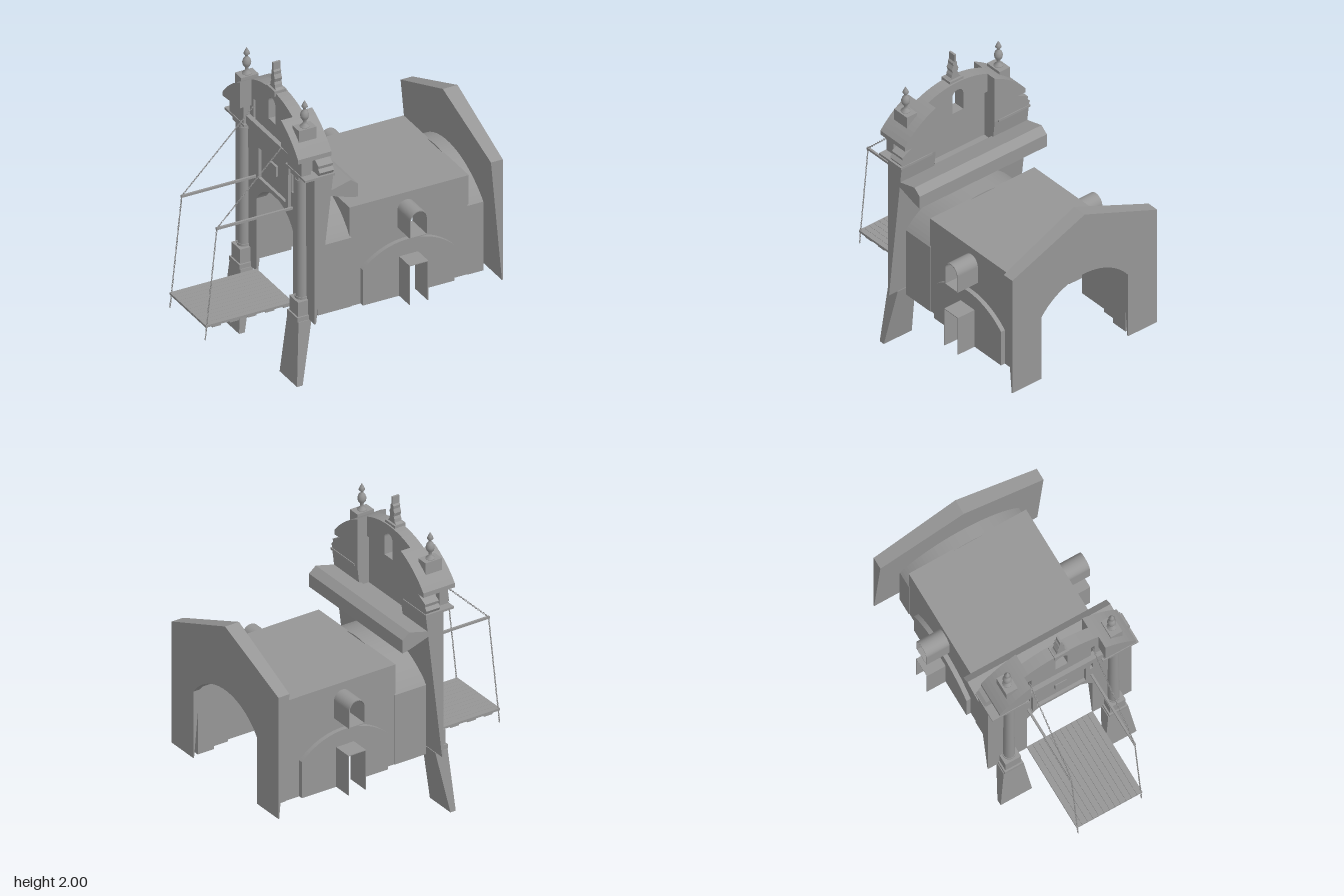
import * as THREE from 'three';
import { mergeGeometries } from 'three/addons/utils/BufferGeometryUtils.js';

// dark stone
const COLOR = 0x969696;
const mat = new THREE.MeshStandardMaterial({ color: COLOR, flatShading: true, side: THREE.DoubleSide });
const smooth = new THREE.MeshStandardMaterial({ color: COLOR, side: THREE.DoubleSide });
const FLOOR = 0.42;

export function createModel() {
  const model = new THREE.Group();
  const gate = new THREE.Group();
  gate.name = 'gatehouse';
  gate.rotation.y = 0.064;
  gate.position.z = 0.04;
  model.add(gate);

  const add = (name, geo, m = mat) => {
    const mesh = new THREE.Mesh(geo, m);
    mesh.name = name;
    gate.add(mesh);
  };
  // box given by its limits
  const box = (name, x0, x1, y0, y1, z0, z1) =>
    add(name, new THREE.BoxGeometry(x1 - x0, y1 - y0, z1 - z0)
      .translate((x0 + x1) / 2, (y0 + y1) / 2, (z0 + z1) / 2));
  const extrude = (shape, depth) =>
    new THREE.ExtrudeGeometry(shape, { depth, bevelEnabled: false, curveSegments: 20 });
  // shape drawn in (z, y), extruded from x0 to x1
  const across = (shape, x0, x1) => extrude(shape, x1 - x0).rotateY(Math.PI / 2).translate(x0, 0, 0);
  const poly = pts => new THREE.Shape(pts.map(p => new THREE.Vector2(...p)));
  // arc over a span of half width hw, rising from spring to top
  const arc = (path, cx, hw, spring, top, reverse = false) => {
    const r = top - spring, R = (hw * hw + r * r) / (2 * r), a = Math.asin(Math.min(1, hw / R));
    const s = Math.PI / 2 - a, e = Math.PI / 2 + a;
    path.absarc(cx, top - R, R, reverse ? e : s, reverse ? s : e, reverse);
  };
  const arch = (Type, cx, hw, y0, spring, top) => {
    const p = new Type();
    p.moveTo(cx - hw, y0);
    p.lineTo(cx + hw, y0);
    p.lineTo(cx + hw, spring);
    arc(p, cx, hw, spring, top);
    p.lineTo(cx - hw, y0);
    return p;
  };
  // cut an arched opening into the bottom edge, ending the outline
  const opening = (s, hw, spring, top) => {
    s.lineTo(hw, FLOOR);
    s.lineTo(hw, spring);
    arc(s, 0, hw, spring, top);
    s.lineTo(-hw, FLOOR);
    return s;
  };
  // pull the inner face so that the wall thins towards its foot
  const taper = (geo, fixed, y0, y1, foot) => {
    const p = geo.attributes.position;
    for (let i = 0; i < p.count; i++) {
      const k = foot + (1 - foot) * (p.getY(i) - y0) / (y1 - y0);
      p.setX(i, fixed + (p.getX(i) - fixed) * k);
    }
    geo.computeVertexNormals();
    return geo;
  };

  // gabled end wall
  const endWall = poly([[-0.57, FLOOR], [-0.57, 1.26], [0, 1.49], [0.57, 1.26], [0.57, FLOOR]]);
  add('endWall', taper(across(opening(endWall, 0.34, 0.88, 1.05), 0.815, 0.917), 0.917, FLOOR, 1.49, 0.06));

  // arched vaults joining the hall to both walls
  for (const [x0, x1] of [[-0.27, -0.04], [0.76, 0.87]]) {
    const s = new THREE.Shape();
    s.moveTo(-0.415, FLOOR);
    s.lineTo(-0.415, 0.9);
    arc(s, 0, 0.415, 0.9, 1.12, true);
    s.lineTo(0.415, FLOOR);
    add('vault', across(opening(s, 0.36, 0.88, 1.06), x0, x1));
  }

  // hall: roof, end frames, ceiling beams
  box('roof', -0.05, 0.77, 1.09, 1.11, -0.41, 0.41);
  for (const x of [-0.05, 0.75]) {
    const s = poly([[-0.41, FLOOR], [-0.41, 1.09], [0.41, 1.09], [0.41, FLOOR]]);
    add('hallEnd', across(opening(s, 0.36, 0.88, 1.06), x, x + 0.02));
  }
  for (let i = 0; i < 7; i++) box('ceilingBeam', 0.02 + i * 0.11, 0.05 + i * 0.11, 1.06, 1.09, -0.39, 0.39);

  // hall sides with arched panel, door and window passages
  const cx = 0.34;
  const bottomNotch = (x0, x1, hw, top) => [[x0, FLOOR], [cx - hw, FLOOR], [cx - hw, top], [cx + hw, top], [cx + hw, FLOOR], [x1, FLOOR]];
  // the wall is open behind the panel, leaving a niche inside
  const side = poly([[-0.05, FLOOR], [cx - 0.29, FLOOR], [cx - 0.29, 0.66]]);
  arc(side, cx, 0.29, 0.66, 0.78, true);
  for (const p of [[cx + 0.29, FLOOR], [0.77, FLOOR], [0.77, 1.09], [-0.05, 1.09]]) side.lineTo(...p);
  side.holes.push(arch(THREE.Path, cx, 0.055, 0.885, 1.0, 1.055));
  const panel = poly(bottomNotch(cx - 0.315, cx + 0.315, 0.06, 0.69));
  panel.lineTo(cx + 0.315, 0.67);
  arc(panel, cx, 0.315, 0.67, 0.8);
  const windowRing = arch(THREE.Shape, cx, 0.06, 0.88, 1.0, 1.06);
  windowRing.holes.push(arch(THREE.Path, cx, 0.054, 0.886, 1.0, 1.054));
  const doorFrame = poly([...bottomNotch(cx - 0.065, cx + 0.065, 0.06, 0.69), [cx + 0.065, 0.695], [cx - 0.065, 0.695]]);
  for (const s of [1, -1]) {
    const sidePart = (name, shape, z0, z1) =>
      add(name, extrude(shape, z1 - z0).translate(0, 0, s > 0 ? z0 : -z1));
    sidePart('hallSide', side, 0.39, 0.41);
    sidePart('archedPanel', panel, 0.41, 0.44);
    sidePart('windowPassage', windowRing, 0.39, 0.57);
    sidePart('doorPassage', doorFrame, 0.41, 0.57);
  }

  // lower gate wall, its middle bay cut down behind, with chain slots
  const lower = poly([[-0.5, FLOOR], [-0.5, 1.44], [-0.232, 1.44], [-0.232, 1.2], [-0.208, 1.2], [-0.208, 1.32],
    [0.208, 1.32], [0.208, 1.2], [0.232, 1.2], [0.232, 1.44], [0.5, 1.44], [0.5, FLOOR]]);
  add('gateWall', taper(across(opening(lower, 0.23, 0.93, 1.06), -0.34, -0.21), -0.34, FLOOR, 1.44, 0.08));

  // curved gable: thin middle bay with window, thick side bays
  const R = (0.475 ** 2 + 0.23 ** 2) / 0.46, arcY = z => 1.81 - R + Math.sqrt(R * R - z * z);
  // points along the gable curve
  const curve = (a, b) => Array.from({ length: 11 }, (_, i) => a + (b - a) * i / 10).map(z => [z, arcY(z)]);
  const middle = poly([[-0.208, 1.32], [0.208, 1.32], [0.208, 1.63], [0.232, 1.63],
    ...curve(0.232, -0.232), [-0.232, 1.63], [-0.208, 1.63]]);
  middle.holes.push(arch(THREE.Path, 0, 0.043, 1.59, 1.71, 1.753));
  add('gableMiddle', across(middle, -0.36, -0.28));

  // raised panel frame and cornice above the gateway
  const frame = poly([[-0.2, 1.08], [0.2, 1.08], [0.2, 1.42], [-0.2, 1.42]]);
  frame.holes.push(poly([[-0.17, 1.11], [0.17, 1.11], [0.17, 1.39], [-0.17, 1.39]]));
  add('panelFrame', across(frame, -0.36, -0.34));
  box('panelStone', -0.355, -0.34, 1.22, 1.29, -0.04, 0.04);
  box('gatewayCornice', -0.39, -0.34, 1.44, 1.5, -0.28, 0.28);

  // sloped beam behind the gate wall
  const beam = poly([[-0.24, 1.32], [-0.09, 1.36], [-0.04, 1.32], [-0.04, 1.23], [-0.09, 1.24], [-0.24, 1.29]]);
  add('rearBeam', extrude(beam, 1).translate(0, 0, -0.5));

  const finial = new THREE.LatheGeometry([[0, 0], [0.03, 0], [0.03, 0.01], [0.012, 0.025], [0.01, 0.045], [0.024, 0.065],
    [0.028, 0.085], [0.021, 0.108], [0.009, 0.122], [0.009, 0.13], [0.02, 0.143], [0.014, 0.16], [0, 0.187]]
    .map(p => new THREE.Vector2(...p)), 16);

  for (const s of [1, -1]) {
    const z = 0.365 * s;
    const zbox = (name, x0, x1, y0, y1, hw) => box(name, x0, x1, y0, y1, z - hw, z + hw);
    const flip = pts => poly(pts.map(([u, y]) => [-s * u, y]));
    add('gableSide', across(flip([[0.232, 1.44], [0.42, 1.44], [0.42, 1.55], [0.475, 1.55], ...curve(0.475, 0.232)]), -0.36, -0.21));
    // column
    zbox('columnPlinth', -0.41, -0.33, 0.45, 0.55, 0.055);
    zbox('columnFoot', -0.42, -0.33, FLOOR, 0.45, 0.065);
    add('column', new THREE.CylinderGeometry(0.033, 0.037, 0.85, 18).translate(-0.357, 0.975, z), smooth);
    for (const [y, r] of [[0.56, 0.041], [1.37, 0.037], [1.4, 0.04]])
      add('columnRing', new THREE.CylinderGeometry(r, r, 0.015, 18).translate(-0.357, y, z), smooth);
    zbox('capital', -0.405, -0.33, 1.405, 1.43, 0.052);
    box('cornice', -0.41, -0.205, 1.43, 1.445, s > 0 ? 0.26 : -0.51, s > 0 ? 0.51 : -0.26);
    zbox('entablature', -0.405, -0.34, 1.445, 1.56, 0.09);
    // half of the broken pediment
    add('pediment', across(flip([[0.26, 1.57], [0.475, 1.55], ...curve(0.475, 0.26)]), -0.44, -0.36));
    // scroll bracket at the end of the wall
    add('scroll', across(flip([[0.42, 1.44], [0.495, 1.445], [0.51, 1.47], [0.49, 1.49], [0.495, 1.51], [0.43, 1.545], [0.42, 1.55]]), -0.31, -0.21));
    // finial on its pedestal
    zbox('pedestal', -0.395, -0.275, 1.64, 1.735, 0.04);
    add('finial', finial.clone().translate(-0.335, 1.73, z), smooth);
    // splayed leg
    const leg = new THREE.BoxGeometry(1, FLOOR, 1);
    const p = leg.attributes.position;
    for (let i = 0; i < p.count; i++) {
      const up = p.getY(i) > 0, front = p.getX(i) < 0;
      p.setXYZ(i, up ? (front ? -0.415 : -0.325) : (front ? -0.447 : -0.408),
        up ? FLOOR : 0, z + p.getZ(i) * (up ? 0.14 : 0.22));
    }
    leg.computeVertexNormals();
    add('leg', leg);
  }

  // crest ornament
  const half = [[0.045, 1.79], [0.045, 1.825], [0.03, 1.835], [0.026, 1.855], [0.018, 1.87], [0.026, 1.895], [0.014, 1.92], [0.016, 1.94], [0.007, 1.95], [0.007, 2]];
  add('crest', across(poly([...half, ...half.map(([u, y]) => [-u, y]).reverse()]), -0.355, -0.305));
  box('crestBase', -0.37, -0.29, 1.79, 1.825, -0.052, 0.052);

  // drawbridge deck of planks on cross beams
  const planks = 12, w = 0.46 / planks;
  for (let i = 0; i < planks; i++)
    box('plank', -0.94, -0.34, 0.425, 0.44, -0.23 + i * w, -0.23 + (i + 0.96) * w);
  for (let i = 0; i < 5; i++) box('deckBeam', -0.89 + i * 0.122, -0.83 + i * 0.122, 0.41, 0.425, -0.22, 0.22);

  // chains of alternating links, and lifting arms
  const chain = (a, b) => {
    const d = b.clone().sub(a), n = Math.round(d.length() / 0.013), links = [];
    const q = new THREE.Quaternion().setFromUnitVectors(new THREE.Vector3(0, 1, 0), d.clone().normalize());
    for (let i = 0; i <= n; i++) {
      const c = a.clone().lerp(b, i / n);
      links.push(new THREE.TorusGeometry(0.0042, 0.002, 4, 8).scale(1, 1.7, 1)
        .rotateY(i % 2 * Math.PI / 2).applyQuaternion(q).translate(c.x, c.y, c.z));
    }
    add('chain', mergeGeometries(links), smooth);
  };
  for (const s of [1, -1]) {
    const z = 0.222 * s, tip = new THREE.Vector3(-0.86, 1.095, z);
    chain(new THREE.Vector3(-0.94, 0.345, z), tip);
    chain(tip, new THREE.Vector3(-0.36, 1.59, z));
    box('liftingArm', -0.865, -0.3, 1.085, 1.1, z - 0.007, z + 0.007);
  }
  return model;
}
